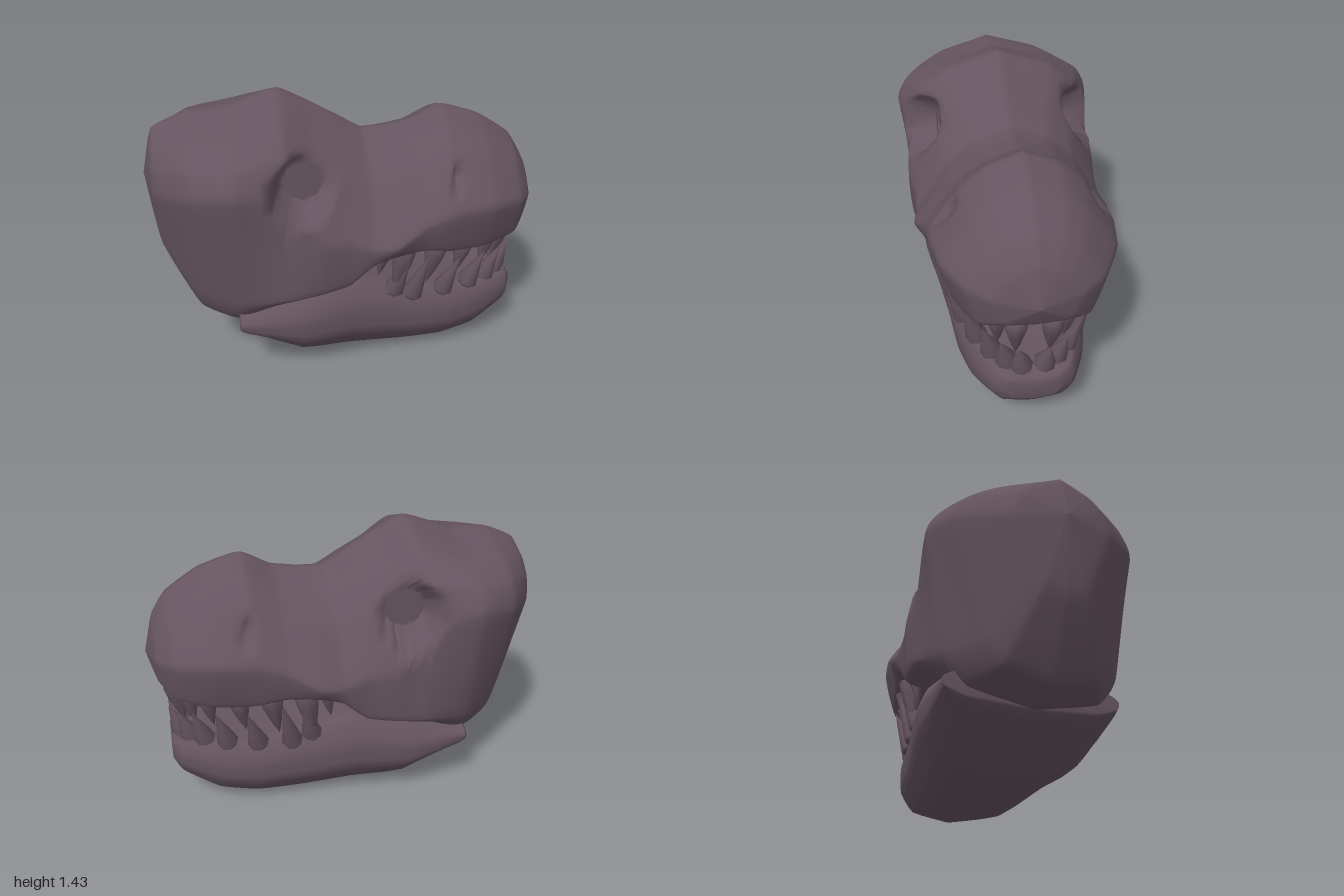
import * as THREE from 'three';

const { lerp, smoothstep } = THREE.MathUtils;

const hide = new THREE.MeshStandardMaterial({ color: 0x65545f });
hide.name = 'dusky plum hide';

// Skull sections: x, crest y, cheek z and y, lip z and y, underside y
const SKULL = [
  [-1.0, 1.03, 0, 1.03, 0, 1.03, 1.03],
  [-0.94, 1.26, 0.23, 1.0, 0.13, 0.74, 0.65],
  [-0.77, 1.34, 0.44, 1.04, 0.29, 0.5, 0.31],
  [-0.57, 1.355, 0.53, 1.07, 0.43, 0.48, 0.26],
  [-0.33, 1.435, 0.49, 1.02, 0.5, 0.53, 0.44],
  [-0.18, 1.365, 0.505, 0.82, 0.49, 0.54, 0.47],
  [-0.03, 1.28, 0.48, 0.8, 0.46, 0.56, 0.51],
  [0.09, 1.21, 0.48, 0.76, 0.46, 0.66, 0.63],
  [0.2, 1.21, 0.495, 0.77, 0.45, 0.69, 0.64],
  [0.35, 1.235, 0.45, 0.85, 0.42, 0.7, 0.64],
  [0.5, 1.31, 0.44, 0.9, 0.39, 0.67, 0.61],
  [0.7, 1.25, 0.405, 0.9, 0.34, 0.66, 0.62],
  [0.87, 1.14, 0.31, 0.88, 0.26, 0.68, 0.65],
  [0.95, 1.02, 0.2, 0.86, 0.16, 0.74, 0.71],
  [1.0, 0.83, 0, 0.83, 0, 0.83, 0.83],
];

// Jaw sections: x, half width, gum rim y, keel y
const JAW = [
  [-0.58, 0.43, 0.39, 0.27],
  [-0.54, 0.43, 0.4, 0.22],
  [-0.26, 0.44, 0.46, 0.05],
  [0.0, 0.4, 0.5, 0.03],
  [0.27, 0.355, 0.43, 0.005],
  [0.5, 0.33, 0.385, 0.005],
  [0.7, 0.28, 0.375, 0.04],
  [0.88, 0.2, 0.37, 0.15],
  [0.925, 0.12, 0.33, 0.21],
];

// Upper teeth: x, root y, length, radius. Lower teeth: x, height
const UPPER = [
  [0.16, 0.7, 0.17, 0.035], [0.27, 0.73, 0.32, 0.06], [0.44, 0.73, 0.28, 0.06], [0.59, 0.69, 0.22, 0.05],
  [0.74, 0.68, 0.2, 0.045], [0.83, 0.69, 0.22, 0.045], [0.89, 0.71, 0.27, 0.055],
];
const LOWER = [[0.22, 0.23], [0.32, 0.28], [0.49, 0.24], [0.64, 0.23], [0.75, 0.21], [0.82, 0.18], [0.86, 0.16]];

const EYE = { x: -0.24, y: 1.08 };
const NOSTRIL = { x: 0.52, y: 1.04 };

// Half outlines run from top centre to bottom centre
function skullHalf([x, crest, cheekZ, cheekY, lipZ, lipY, under]) {
  const taper = smoothstep(x, -0.5, 0.2); // broad cranium to narrow snout
  return [
    [0, crest],
    [cheekZ * lerp(0.59, 0.38, taper), lerp(crest, cheekY, lerp(0.25, 0.16, taper))],
    [cheekZ * lerp(0.89, 0.65, taper), lerp(crest, cheekY, lerp(0.54, 0.42, taper))],
    [cheekZ, cheekY],
    [lipZ, lipY],
    [lipZ * 0.75, lerp(lipY, under, 0.7)],
    [0, under],
  ].map(([z, y]) => new THREE.Vector3(x, y, z));
}

function jawHalf([x, width, rimY, keel]) {
  return [
    [0, rimY - 0.01],
    [width * 0.85, rimY],
    [width, lerp(rimY, keel, 0.28)],
    [width * 0.98, lerp(rimY, keel, 0.58)],
    [width * 0.72, lerp(rimY, keel, 0.88)],
    [0, keel],
  ].map(([z, y]) => new THREE.Vector3(x, y, z));
}

function spline(points, sub) {
  const curve = new THREE.CatmullRomCurve3(points, false, 'catmullrom', 0.22);
  return curve.getPoints((points.length - 1) * sub);
}

// Mirrored skin lofted through the half outlines, closed at both ends
function loft(outlines, sub) {
  const halves = outlines.map((h) => spline(h, sub));
  const rails = halves[0].map((_, j) => spline(halves.map((h) => h[j]), sub));
  const rings = rails[0].map((_, i) => {
    const half = rails.map((rail) => rail[i]);
    const other = half.slice(1, -1).reverse().map((p) => new THREE.Vector3(p.x, p.y, -p.z));
    return [...half, ...other];
  });
  const collapse = (ring) => {
    const c = new THREE.Vector3();
    ring.forEach((p) => c.addScaledVector(p, 1 / ring.length));
    return ring.map(() => c);
  };
  rings.unshift(collapse(rings[0]));
  rings.push(collapse(rings[rings.length - 1]));

  const index = [], m = rings[0].length;
  for (let i = 0; i < rings.length - 1; i++) {
    for (let j = 0; j < m; j++) {
      const a = i * m + j, c = i * m + (j + 1) % m;
      index.push(a, c, a + m, c, c + m, a + m);
    }
  }
  return new THREE.BufferGeometry().setFromPoints(rings.flat()).setIndex(index);
}

// Eye sockets flatten to a recessed plane, nostrils are small pits
function carve(geometry) {
  const p = geometry.attributes.position;
  for (let i = 0; i < p.count; i++) {
    let z = Math.abs(p.getZ(i));
    if (z < 0.15) continue;
    const eye = Math.hypot(p.getX(i) - EYE.x, p.getY(i) - EYE.y);
    z = lerp(z, Math.min(z, 0.32), 1 - smoothstep(eye, 0.115, 0.155));
    const nose = Math.hypot(p.getX(i) - NOSTRIL.x, p.getY(i) - NOSTRIL.y);
    z -= 0.07 * (1 - smoothstep(nose, 0.015, 0.05));
    p.setZ(i, Math.sign(p.getZ(i)) * z);
  }
  return geometry;
}

function addPart(parent, name, geometry) {
  const mesh = new THREE.Mesh(geometry, hide);
  mesh.name = name;
  parent.add(mesh);
  return mesh;
}

// Pointed tooth; the profile runs from root to tip
function addTooth(parent, name, base, tip, r, outline) {
  const dir = tip.clone().sub(base), len = dir.length();
  const profile = outline.map(([x, y]) => new THREE.Vector2(x * r, y * len));
  const mesh = addPart(parent, name, new THREE.LatheGeometry(profile, 8));
  mesh.position.copy(base);
  mesh.quaternion.setFromUnitVectors(new THREE.Vector3(0, 1, 0), dir.normalize());
}

const FANG = [[0, 0], [0.7, 0.04], [1, 0.18], [0.85, 0.4], [0.45, 0.72], [0, 1]];
const SPIKE = [[0, 0], [0.85, 0.01], [1, 0.08], [0.6, 0.45], [0, 1]];

export function createModel() {
  const model = new THREE.Group();
  model.name = 'reptileHead';

  const skull = carve(loft(SKULL.map(skullHalf), 6));
  const jaw = loft(JAW.map(jawHalf), 3);
  skull.computeVertexNormals();
  jaw.computeVertexNormals();
  addPart(model, 'skull', skull);
  addPart(model, 'lowerJaw', jaw);

  for (const s of [1, -1]) {
    const side = s > 0 ? 'left' : 'right';

    // Flat octagonal eye at the bottom of the socket
    const eye = addPart(model, side + 'Eye', new THREE.CircleGeometry(0.1, 8));
    eye.position.set(EYE.x, EYE.y, s * 0.335);
    if (s < 0) eye.rotation.y = Math.PI;

    // Tooth rows follow elliptical arches; lower teeth splay outwards
    for (const [x, y, len, r] of UPPER) {
      const z = s * 0.37 * Math.sqrt(1 - ((x - 0.15) / 0.76) ** 2);
      addTooth(model, side + 'UpperTooth', new THREE.Vector3(x, y, z),
        new THREE.Vector3(x - 0.18 * len, y - len, z * 0.95), r, FANG);
    }
    for (const [x, h] of LOWER) {
      const z = s * 0.31 * Math.sqrt(1 - ((x - 0.2) / 0.67) ** 2);
      const y = x < 0.3 ? 0.41 : 0.37;
      addTooth(model, side + 'LowerTooth', new THREE.Vector3(x, y, z),
        new THREE.Vector3(x + 0.06, y + h, z * 1.32), 0.055, SPIKE);
    }
  }
  return model;
}
